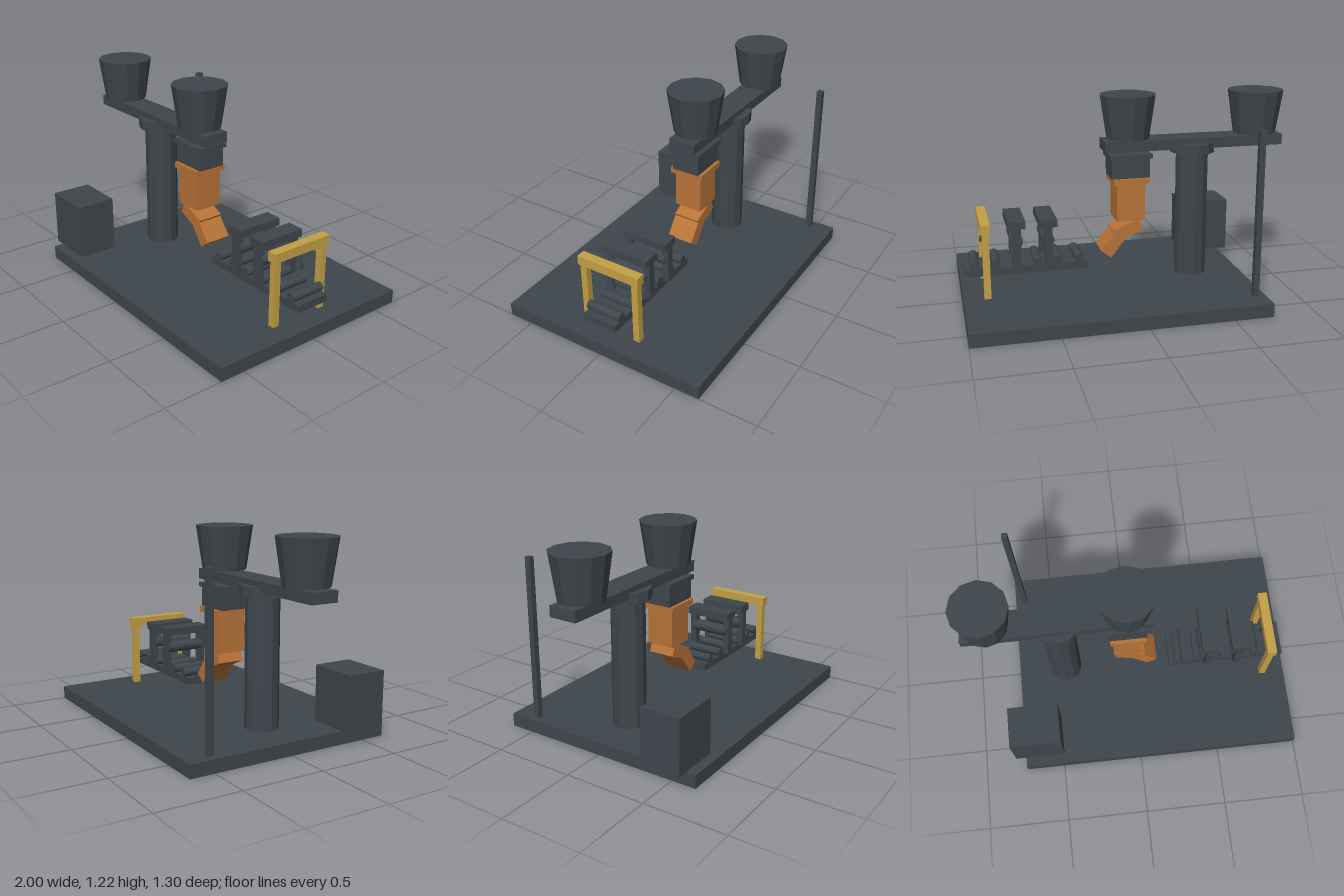
import * as THREE from 'three';

export function createModel() {
  const model = new THREE.Group();
  model.name = 'pouringStation';

  const mat = (name, color) => {
    const m = new THREE.MeshStandardMaterial({ color });
    m.name = name;
    return m;
  };
  const steel = mat('dark steel', 0x3f464c);
  const copper = mat('copper', 0xb87338);
  const brass = mat('brass', 0xc4a046);

  const add = (name, geometry, material, x, y, z) => {
    const mesh = new THREE.Mesh(geometry, material);
    mesh.name = name;
    mesh.position.set(x, y, z);
    model.add(mesh);
    return mesh;
  };
  // Box given by its limits on each axis
  const box = (name, material, [x0, x1], [y0, y1], [z0, z1]) =>
    add(name, new THREE.BoxGeometry(x1 - x0, y1 - y0, z1 - z0), material,
      (x0 + x1) / 2, (y0 + y1) / 2, (z0 + z1) / 2);
  // Faceted upright cylinder or cone between two heights
  const drum = (name, rTop, rBottom, x, y0, y1, sides) => {
    const g = new THREE.CylinderGeometry(rTop, rBottom, y1 - y0, sides).toNonIndexed();
    g.computeVertexNormals();
    return add(name, g, steel, x, (y0 + y1) / 2, 0);
  };
  // Horizontal roller along z
  const roller = (name, r, length, x, y) => {
    const g = new THREE.CylinderGeometry(r, r, length, 12).toNonIndexed();
    g.computeVertexNormals();
    g.rotateX(Math.PI / 2);
    return add(name, g, steel, x, y, 0);
  };

  // Base, control cabinet and rear pole
  box('base', steel, [-0.735, 1], [0, 0.08], [-0.65, 0.65]);
  box('cabinet', steel, [-0.8, -0.49], [0.08, 0.42], [0.345, 0.59]);
  box('pole', steel, [-0.695, -0.66], [0.08, 1.072], [-0.515, -0.48]);

  // Turret column, swing arm and the two ladles
  drum('column', 0.1, 0.1, -0.43, 0.08, 0.89, 12);
  drum('columnCollar', 0.138, 0.138, -0.43, 0.856, 0.918, 12);
  box('arm', steel, [-0.983, 0.13], [0.886, 0.95], [-0.085, 0.085]);
  for (const x of [-0.83, -0.025]) drum('ladle', 0.17, 0.131, x, 0.957, 1.22, 12);

  // Tundish and copper mould below the arm
  drum('nozzle', 0.018, 0.018, -0.025, 0.86, 0.957, 8);
  box('tundishRim', steel, [-0.155, 0.105], [0.843, 0.87], [-0.1, 0.1]);
  box('tundish', steel, [-0.14, 0.092], [0.725, 0.843], [-0.087, 0.087]);
  box('mouldCollar', copper, [-0.132, 0.083], [0.69, 0.725], [-0.107, 0.107]);
  box('mould', copper, [-0.112, 0.062], [0.46, 0.69], [-0.087, 0.087]);
  const elbow = add('mouldElbow', new THREE.BoxGeometry(0.17, 0.076, 0.165), copper, -0.01, 0.4, 0);
  elbow.rotation.z = -0.42;
  const spout = add('mouldSpout', new THREE.BoxGeometry(0.078, 0.165, 0.165), copper, 0.078, 0.322, 0);
  spout.rotation.z = 0.66;

  // Roller table
  box('rollerBed', steel, [0.24, 0.98], [0.19, 0.235], [-0.107, 0.107]);
  for (let i = 0; i < 6; i++) roller('tableRoller', 0.027, 0.222, 0.3 + i * 0.124, 0.257);

  // Two roll stands
  for (const x of [0.487, 0.673]) {
    box('standHead', steel, [x - 0.052, x + 0.052], [0.475, 0.522], [-0.147, 0.147]);
    for (const z of [-0.125, 0.125])
      box('standPost', steel, [x - 0.023, x + 0.023], [0.24, 0.477], [z - 0.021, z + 0.021]);
    roller('standRoll', 0.037, 0.25, x, 0.39);
  }

  // Brass gantry with hanging cutting cone
  box('gantryBeam', brass, [0.83, 0.886], [0.475, 0.531], [-0.201, 0.201]);
  for (const z of [-0.171, 0.171])
    box('gantryPost', brass, [0.838, 0.878], [0.08, 0.477], [z - 0.02, z + 0.02]);
  drum('cuttingCone', 0.007, 0.027, 0.858, 0.375, 0.475, 10);

  return model;
}
